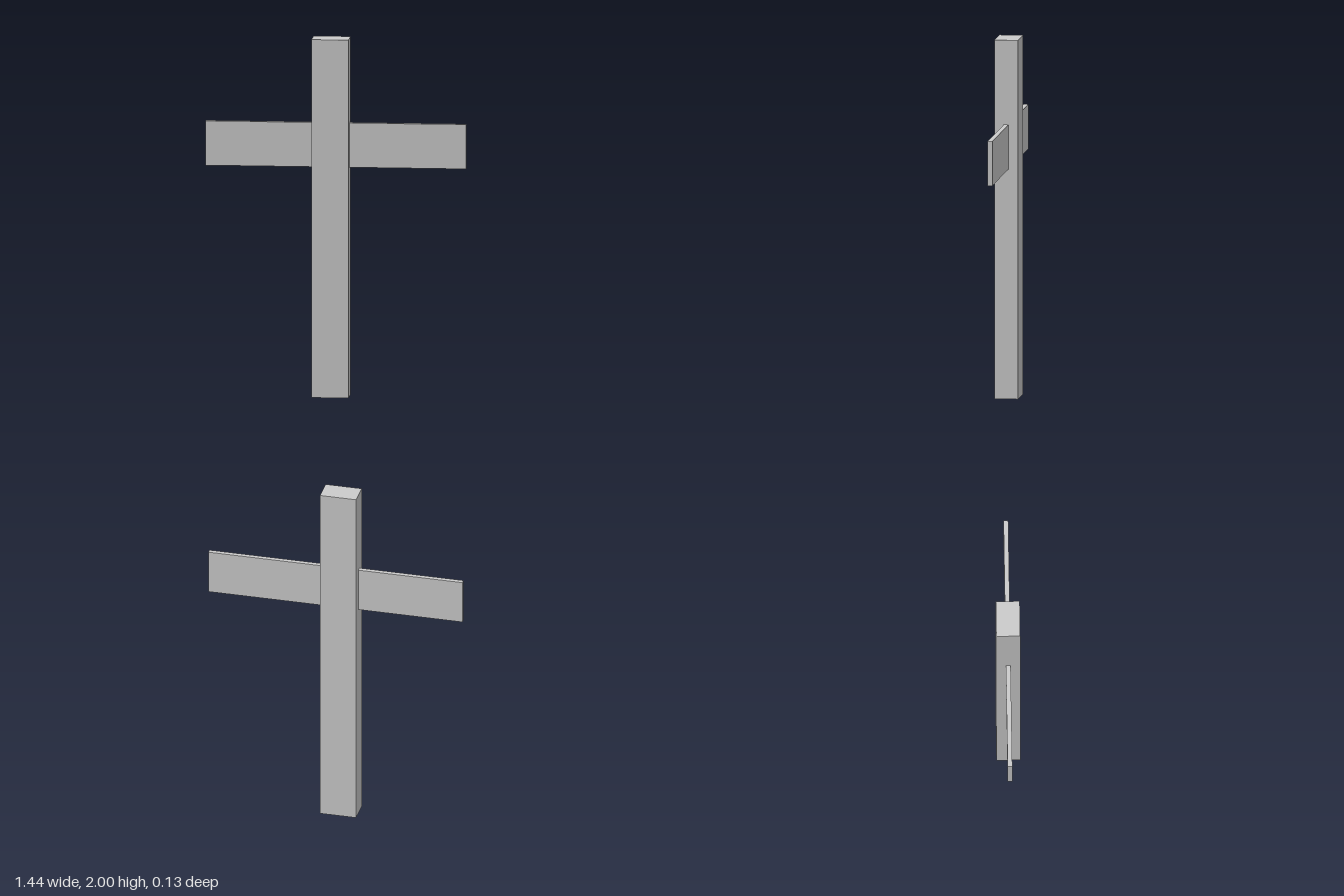
import * as THREE from 'three';

const material = new THREE.MeshStandardMaterial({ color: 0xcccccc });

// Box given by its extents along each axis
function beam(name, [x0, x1], [y0, y1], [z0, z1]) {
  const mesh = new THREE.Mesh(new THREE.BoxGeometry(x1 - x0, y1 - y0, z1 - z0), material);
  mesh.position.set((x0 + x1) / 2, (y0 + y1) / 2, (z0 + z1) / 2);
  mesh.name = name;
  return mesh;
}

export function createModel() {
  const group = new THREE.Group();
  group.name = 'cross';
  // Upright post, set slightly to one side of the crossbar's middle
  group.add(beam('post', [-0.13, 0.075], [0, 2], [-0.066, 0.066]));
  // Thin plank running through the post
  group.add(beam('crossbar', [-0.722, 0.722], [1.281, 1.529], [-0.013, 0.013]));
  return group;
}
